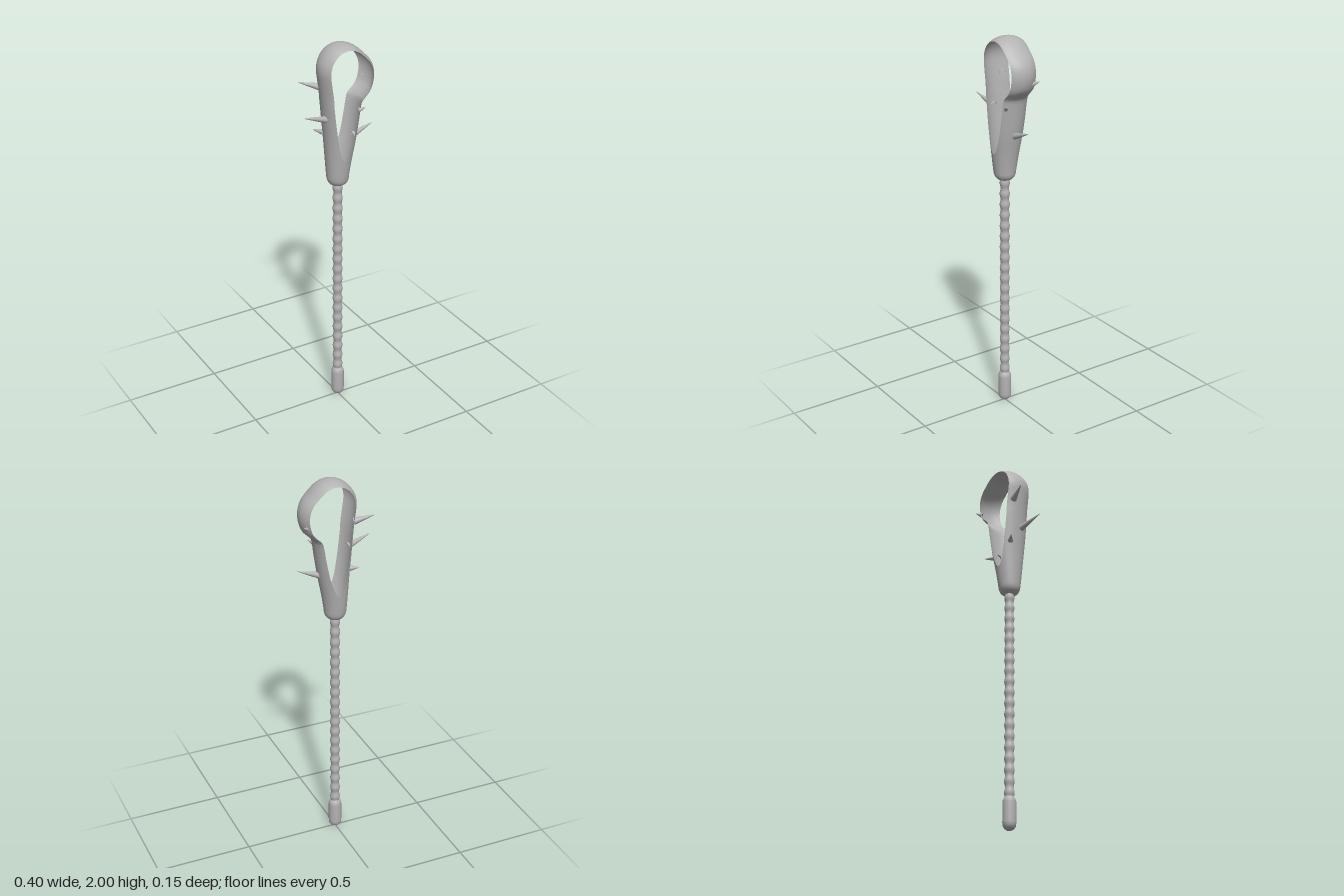
import * as THREE from 'three';

export function createModel() {
  const group = new THREE.Group();
  const grey = new THREE.MeshStandardMaterial({ color: 0xb3b3b3 });
  grey.name = 'plain grey';
  grey.side = THREE.DoubleSide;
  const add = (name, geometry) => {
    const mesh = new THREE.Mesh(geometry, grey);
    mesh.name = name;
    group.add(mesh);
    return mesh;
  };
  const v2 = (list) => list.map(([x, y]) => new THREE.Vector2(x, y));

  // Pommel: rounded capsule narrowing into the shaft
  add('pommel', new THREE.LatheGeometry(v2([
    [0, 0], [0.012, 0.002], [0.024, 0.01], [0.032, 0.023], [0.034, 0.04],
    [0.034, 0.14], [0.032, 0.152], [0.028, 0.162], [0.022, 0.17],
  ]), 32));

  // Shaft: a rod with evenly spaced soft swellings
  const shaft = [];
  const rings = 19;
  for (let i = 0; i <= rings * 8; i++) {
    const t = i / (rings * 8);
    shaft.push([0.0235 - 0.0025 * Math.cos(t * rings * Math.PI * 2), 0.16 + 1.11 * t]);
  }
  add('shaft', new THREE.LatheGeometry(v2(shaft), 24));

  // Head sections, bottom to top: height, right edge, left edge, depth radius
  const rows = [
    [1.257, 0, 0, 0], [1.26, -0.025, 0.025, 0.025], [1.27, -0.043, 0.043, 0.043],
    [1.29, -0.054, 0.054, 0.054], [1.32, -0.058, 0.058, 0.059], [1.4, -0.063, 0.07, 0.07],
    [1.5, -0.069, 0.089, 0.084], [1.6, -0.077, 0.104, 0.095], [1.68, -0.083, 0.115, 0.103],
    [1.71, -0.086, 0.126, 0.106], [1.75, -0.09, 0.167, 0.112], [1.79, -0.095, 0.183, 0.117],
    [1.83, -0.1, 0.188, 0.12], [1.87, -0.104, 0.182, 0.12], [1.905, -0.099, 0.164, 0.116],
    [1.935, -0.085, 0.135, 0.108], [1.96, -0.066, 0.11, 0.093], [1.98, -0.043, 0.085, 0.07],
    [1.992, -0.018, 0.058, 0.045], [1.998, 0.005, 0.035, 0.02], [2, 0.02, 0.02, 0],
  ];
  const spline = (pick) => new THREE.CatmullRomCurve3(
    rows.map((r) => new THREE.Vector3(...pick(r))), false, 'catmullrom', 0.5);
  const section = spline((r) => [r[1], r[2], r[3]]);
  const height = spline((r) => [0, r[0], 0]);

  // Curve position where the depth radius equals z, between a shallow and a deep end
  const limit = (z, shallow, deep) => {
    for (let i = 0; i < 30; i++) {
      const mid = (shallow + deep) / 2;
      if (section.getPoint(mid).z < z) shallow = mid; else deep = mid;
    }
    return deep;
  };

  // Head shell: closed outlines stacked in z, leaving front and back open
  const steps = 60, slices = 32, halfDepth = 0.071;
  const positions = [], index = [];
  const loop = steps * 2;
  for (let j = 0; j <= slices; j++) {
    const z = halfDepth * Math.sin((j / slices - 0.5) * Math.PI);
    const low = limit(Math.abs(z), 0, 0.6);
    const high = limit(Math.abs(z), 1, 0.6);
    for (let i = 0; i < loop; i++) {
      const a = (i / loop) * Math.PI * 2;
      const s = low + (high - low) * (0.5 - 0.5 * Math.cos(a));
      const p = section.getPoint(s);
      const k = Math.sqrt(Math.max(0, 1 - (z / Math.max(p.z, 1e-6)) ** 2));
      const side = i === 0 || i === steps ? 0 : i < steps ? 1 : -1;
      positions.push((p.x + p.y) / 2 + side * k * (p.y - p.x) / 2, height.getPoint(s).y, z);
      if (j < slices) {
        const b = j * loop + i, c = j * loop + ((i + 1) % loop);
        index.push(b, c, b + loop, c, c + loop, b + loop);
      }
    }
  }
  const shell = new THREE.BufferGeometry();
  shell.setAttribute('position', new THREE.Float32BufferAttribute(positions, 3));
  shell.setIndex(index);
  shell.computeVertexNormals();
  add('hollowHead', shell);

  // Thorns: slightly swollen cones from base to tip
  const thorn = (name, base, tip, radius) => {
    const from = new THREE.Vector3(...base);
    const dir = new THREE.Vector3(...tip).sub(from);
    const length = dir.length();
    const profile = [[1, 0], [0.85, 0.15], [0.62, 0.4], [0.35, 0.7], [0.12, 0.95], [0, 1]];
    const mesh = add(name, new THREE.LatheGeometry(
      v2(profile.map(([r, t]) => [r * radius, t * length])), 14));
    mesh.position.copy(from);
    mesh.quaternion.setFromUnitVectors(new THREE.Vector3(0, 1, 0), dir.normalize());
  };
  thorn('upperRightThorn', [-0.08, 1.782, -0.042], [-0.177, 1.813, -0.074], 0.018);
  thorn('middleRightThorn', [-0.075, 1.63, 0.015], [-0.204, 1.67, 0.034], 0.018);
  thorn('lowerRightThorn', [-0.06, 1.54, -0.045], [-0.098, 1.55, -0.074], 0.015);
  thorn('lowerLeftThorn', [0.085, 1.51, 0], [0.2, 1.552, 0], 0.017);
  thorn('upperLeftThorn', [0.165, 1.785, -0.05], [0.192, 1.802, -0.072], 0.012);
  thorn('middleLeftThorn', [0.09, 1.66, 0.055], [0.115, 1.675, 0.07], 0.012);

  return group;
}
